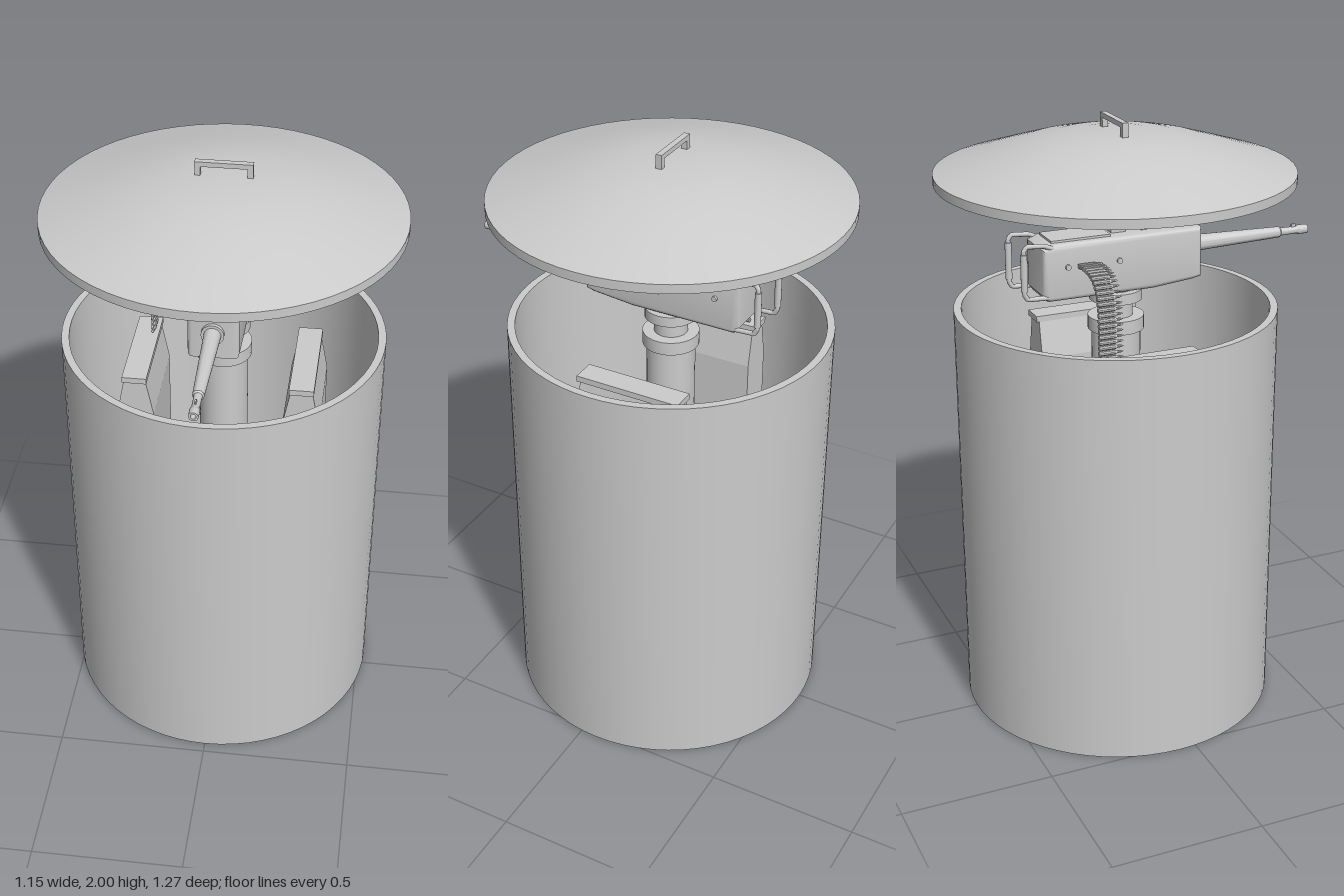
import * as THREE from 'three';
import { toCreasedNormals, mergeGeometries } from 'three/addons/utils/BufferGeometryUtils.js';

const AXIS_Z = -0.06; // drum, column and lid share this axis
const GUN_Y = 1.56;

export function createModel() {
  const model = new THREE.Group();
  model.name = 'drumTurret';
  const mat = new THREE.MeshStandardMaterial({ color: 0xcccccc });

  const add = (name, geo, x = 0, y = 0, z = 0) => {
    const mesh = new THREE.Mesh(geo, mat);
    mesh.name = name;
    mesh.position.set(x, y, z);
    model.add(mesh);
    return mesh;
  };
  const box = (w, h, d) => new THREE.BoxGeometry(w, h, d);
  // Lathe with crisp profile corners; points run counterclockwise as [radius, height]
  const lathe = (pts, seg = 32, crease = 0.6) =>
    toCreasedNormals(new THREE.LatheGeometry(pts.map(p => new THREE.Vector2(...p)), seg), crease);
  // Outline of [z, y] points extruded across x
  const sideExtrude = (pts, width, bevel) => {
    const shape = new THREE.Shape(pts.map(p => new THREE.Vector2(...p)));
    const geo = new THREE.ExtrudeGeometry(shape, {
      depth: width - 2 * bevel, bevelEnabled: bevel > 0, bevelSize: bevel,
      bevelThickness: bevel, bevelOffset: -bevel, bevelSegments: 3,
    });
    geo.translate(0, 0, bevel - width / 2).rotateY(-Math.PI / 2);
    return toCreasedNormals(geo, 0.6);
  };

  // Open drum with wall thickness and floor
  add('drum', lathe([[0, 0], [0.525, 0], [0.525, 1.39], [0.5, 1.39], [0.5, 0.03], [0, 0.03]], 64), 0, 0, AXIS_Z);

  // Domed lid, flat in the middle of its underside
  add('lid', lathe([
    [0, 1.885], [0.3, 1.875], [0.56, 1.805], [0.573, 1.805], [0.573, 1.835], [0.5, 1.858], [0.4, 1.89],
    [0.3, 1.92], [0.2, 1.943], [0.12, 1.954], [0, 1.956],
  ], 64, 0.35), 0, 0, AXIS_Z);
  add('lidHandleGrip', box(0.18, 0.016, 0.02), 0, 1.992, AXIS_Z - 0.003);
  for (const s of [-1, 1]) add('lidHandleLeg', box(0.018, 0.04, 0.02), s * 0.081, 1.967, AXIS_Z - 0.003);
  add('lidPost', box(0.05, 0.27, 0.05), 0, 1.755, AXIS_Z);

  // Column, collar, neck and turntable
  add('column', lathe([
    [0, 0.03], [0.08, 0.03], [0.08, 1.31], [0.092, 1.31], [0.092, 1.355], [0.055, 1.355],
    [0.055, 1.41], [0.086, 1.41], [0.086, 1.445], [0.06, 1.445], [0.06, 1.47], [0, 1.47],
  ]), 0, 0, AXIS_Z);

  // Gun housing
  add('gunHousing', sideExtrude([
    [0.21, 1.47], [0.18, 1.463], [0.04, 1.45], [-0.32, 1.45], [-0.335, 1.47],
    [-0.335, 1.62], [-0.3, 1.635], [0.21, 1.635],
  ], 0.16, 0.014));
  add('topCover', box(0.11, 0.012, 0.2), 0, 1.636, -0.2);

  // Barrel, with its collar and flared muzzle
  const barrel = lathe([
    [0, 0.19], [0.036, 0.19], [0.036, 0.222], [0.027, 0.222], [0.019, 0.5], [0.018, 0.53], [0.013, 0.535],
    [0.012, 0.595], [0.016, 0.605], [0.015, 0.635], [0.008, 0.635], [0.008, 0.58], [0, 0.58],
  ], 20);
  add('barrel', barrel.rotateX(Math.PI / 2), 0, GUN_Y, 0);
  add('frontSight', box(0.005, 0.012, 0.015), 0, 1.576, 0.585);

  // Scope on its mount
  add('scopeMount', box(0.06, 0.05, 0.07), 0, 1.65, 0.05);
  const scope = lathe([
    [0, -0.01], [0.046, -0.01], [0.049, -0.004], [0.049, 0.015], [0.045, 0.018], [0.045, 0.068],
    [0.05, 0.072], [0.05, 0.105], [0.04, 0.113], [0.04, 0.12], [0.052, 0.125], [0.052, 0.142],
    [0.046, 0.162], [0.033, 0.177], [0.017, 0.184], [0, 0.186],
  ], 28);
  add('scope', scope.rotateX(Math.PI / 2), 0, 1.705, 0);

  // Rear grip loops, one each side
  const grip = [[-0.3, 1.622], [-0.33, 1.635], [-0.388, 1.639], [-0.398, 1.625],
    [-0.398, 1.485], [-0.388, 1.468], [-0.33, 1.465], [-0.3, 1.465]];
  for (const s of [-1, 1]) {
    const path = new THREE.CurvePath();
    const pts = grip.map(([z, y]) => new THREE.Vector3(s * 0.072, y, z));
    pts.slice(1).forEach((p, i) => path.add(new THREE.LineCurve3(pts[i], p)));
    add('rearGrip', new THREE.TubeGeometry(path, 60, 0.008, 8));
    add('gripSleeve', new THREE.CylinderGeometry(0.011, 0.011, 0.12, 12), s * 0.072, 1.555, -0.398);
    for (const z of [-0.255, -0.08]) {
      add('sidePin', new THREE.CylinderGeometry(0.009, 0.009, 0.012, 12), s * 0.082, GUN_Y, z).rotation.z = Math.PI / 2;
    }
  }
  add('cockingHandle', new THREE.CylinderGeometry(0.01, 0.01, 0.06, 12), 0.097, GUN_Y, -0.08).rotation.z = Math.PI / 2;

  // Cartridge belt curving down from the housing into its box
  const beltPath = new THREE.CatmullRomCurve3([
    [-0.07, 1.56], [-0.15, 1.56], [-0.2, 1.545], [-0.235, 1.5], [-0.247, 1.43], [-0.25, 1.27],
  ].map(([x, y]) => new THREE.Vector3(x, y, -0.18)));
  const round = lathe([
    [0, -0.042], [0.008, -0.042], [0.008, 0.012], [0.005, 0.018], [0.004, 0.032], [0, 0.042],
  ], 10).rotateX(Math.PI / 2);
  const rounds = beltPath.getSpacedPoints(24).map(p => round.clone().translate(p.x, p.y, p.z));
  add('cartridgeBelt', mergeGeometries(rounds));
  add('beltLinks', new THREE.TubeGeometry(beltPath, 40, 0.004, 6));

  // Tapered ammunition boxes with lids on both sides of the column
  for (const s of [-1, 1]) {
    const shape = new THREE.Shape([[-0.06, 0.03], [0.06, 0.03], [0.06, 1.15], [0.035, 1.28], [-0.035, 1.28], [-0.06, 1.15]]
      .map(p => new THREE.Vector2(...p)));
    const body = new THREE.ExtrudeGeometry(shape, { depth: 0.34, bevelEnabled: false });
    add('ammoBox', body, s * 0.27, 0, AXIS_Z - 0.18);
    add('ammoBoxLid', box(0.08, 0.02, 0.36), s * 0.27, 1.285, AXIS_Z - 0.01);
  }
  return model;
}
